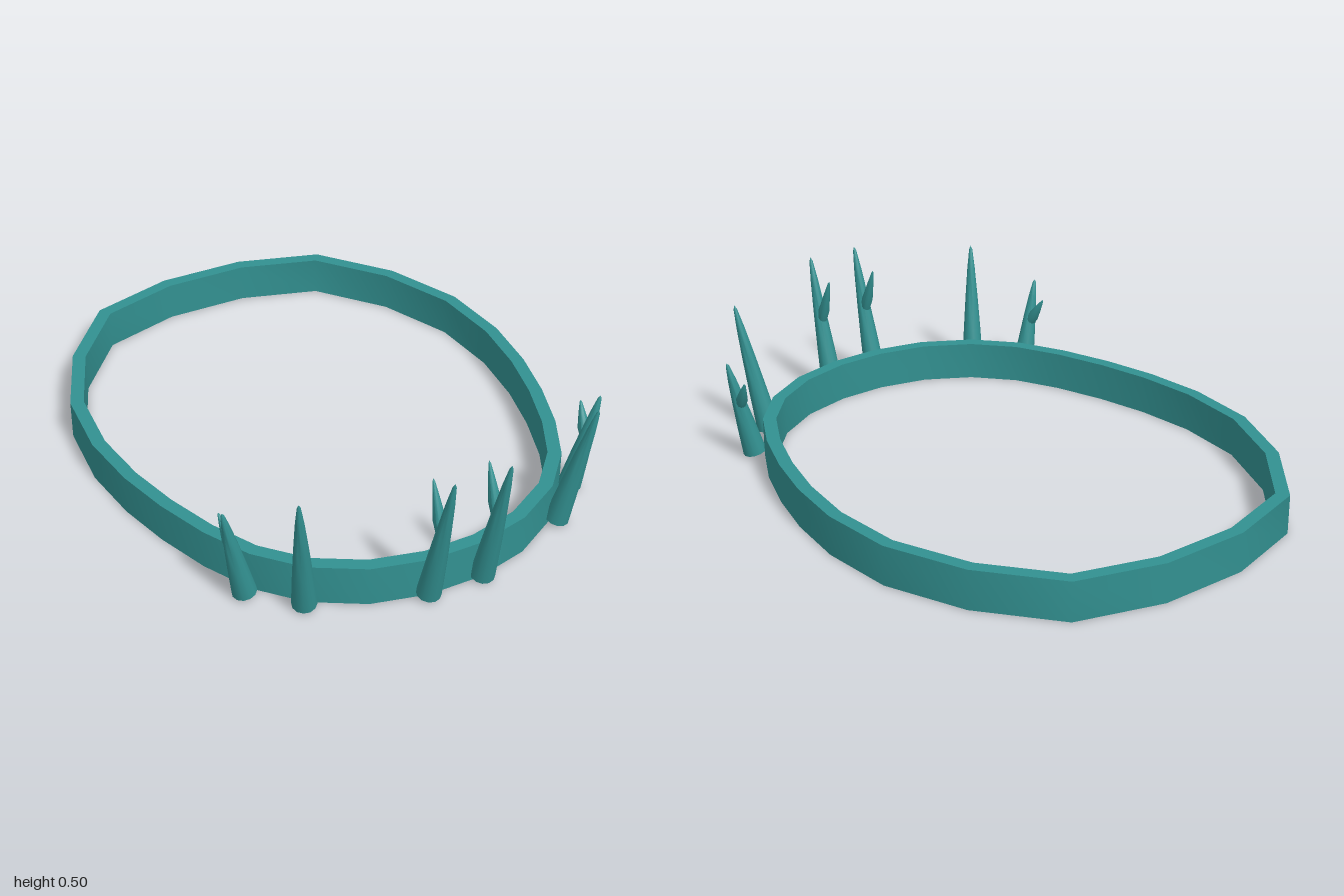
import * as THREE from 'three';
import { toCreasedNormals } from 'three/addons/utils/BufferGeometryUtils.js';

const V = (x, y, z) => new THREE.Vector3(x, y, z);

// Right half of the band outline as [x, z], from back to front
const HALF = [
  [0.153, -1], [0.444, -0.913], [0.64, -0.672], [0.752, -0.402], [0.774, -0.145], [0.75, 0.07],
  [0.705, 0.256], [0.642, 0.436], [0.56, 0.597], [0.436, 0.733], [0.272, 0.828], [0.09, 0.872],
];
const BAND_HEIGHT = 0.135;
const BAND_THICKNESS = 0.045;

// Moves every corner of a closed outline inwards by a constant wall thickness
function inset(points, distance) {
  const n = points.length;
  return points.map((p, i) => {
    const a = p.clone().sub(points[(i + n - 1) % n]).normalize();
    const b = points[(i + 1) % n].clone().sub(p).normalize();
    const na = new THREE.Vector2(-a.y, a.x);
    const nb = new THREE.Vector2(-b.y, b.x);
    const miter = na.clone().add(nb).normalize();
    return p.clone().addScaledVector(miter, distance / miter.dot(na));
  });
}

function createBand(material) {
  const right = HALF.map(([x, z]) => new THREE.Vector2(x, -z));
  const left = right.map((p) => new THREE.Vector2(-p.x, p.y)).reverse();
  // counter-clockwise, so the inset goes to the left of each edge
  const outer = [...right, ...left].reverse();
  const shape = new THREE.Shape(outer);
  shape.holes.push(new THREE.Path(inset(outer, BAND_THICKNESS)));
  const geometry = new THREE.ExtrudeGeometry(shape, { depth: BAND_HEIGHT, bevelEnabled: false });
  geometry.rotateX(-Math.PI / 2);
  const band = new THREE.Mesh(toCreasedNormals(geometry, 0.75), material);
  band.name = 'band';
  return band;
}

// Tapered horn between two points; profile is [radius, fraction of length]
function createHorn(name, from, to, profile, material) {
  const length = from.distanceTo(to);
  const points = profile.map(([r, t]) => new THREE.Vector2(r, t * length));
  const geometry = toCreasedNormals(new THREE.LatheGeometry(points, 12), 0.8);
  const horn = new THREE.Mesh(geometry, material);
  horn.name = name;
  horn.position.copy(from);
  horn.quaternion.setFromUnitVectors(V(0, 1, 0), to.clone().sub(from).normalize());
  return horn;
}

const SPIKE = [[0, 0], [0.04, 0], [0.032, 0.3], [0.023, 0.58], [0.014, 0.82], [0.006, 0.97], [0, 1]];
const BRANCH = [[0, 0], [0.016, 0.02], [0.02, 0.3], [0.012, 0.65], [0.004, 0.95], [0, 1]];

// Spikes of the left side, with an optional backward branch
const SPIKES = [
  { name: 'frontSpike', base: V(0.095, 0.015, 0.877), tip: V(0.095, 0.505, 0.998),
    branch: [V(0.095, 0.27, 0.938), V(0.095, 0.445, 0.877)] },
  { name: 'middleSpike', base: V(0.452, 0.015, 0.748), tip: V(0.511, 0.465, 0.835) },
  { name: 'sideSpike', base: V(0.588, 0.015, 0.615), tip: V(0.663, 0.353, 0.638),
    branch: [V(0.627, 0.19, 0.625), V(0.642, 0.297, 0.562)] },
];

export function createModel() {
  const teal = new THREE.MeshStandardMaterial({ color: 0x329090 });
  teal.name = 'teal';

  const model = new THREE.Group();
  model.name = 'spikedCirclet';
  model.add(createBand(teal));

  for (const side of [1, -1]) {
    const mirror = (p) => V(p.x * side, p.y, p.z);
    for (const { name, base, tip, branch } of SPIKES) {
      const group = new THREE.Group();
      group.name = (side > 0 ? 'left ' : 'right ') + name;
      group.add(createHorn('spike', mirror(base), mirror(tip), SPIKE, teal));
      if (branch) group.add(createHorn('branch', mirror(branch[0]), mirror(branch[1]), BRANCH, teal));
      model.add(group);
    }
  }
  return model;
}
